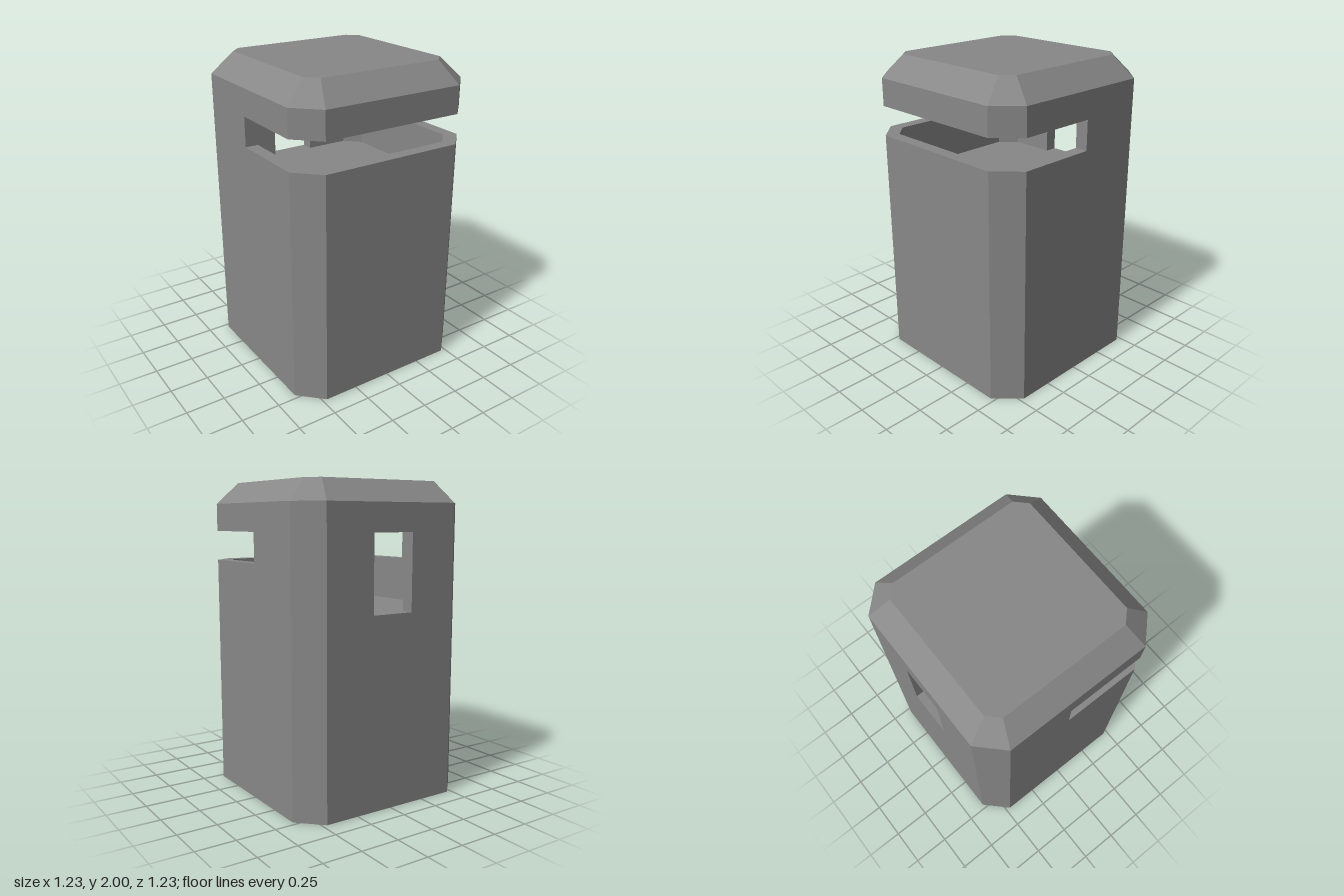
import * as THREE from 'three';

const H = 0.617, C = 0.47;   // outer half width and chamfer corner
const h = 0.535, c = 0.435;  // inner half width and chamfer corner
const W = 0.143;             // half width of the rear window
const SLOT_Z = -0.04;        // where the front slot ends
const FLOOR = 1.21, SILL = 1.5, LID = 1.69, EAVES = 1.865, TOP = 2;

const material = new THREE.MeshStandardMaterial({ color: 0x888888, flatShading: true });

// Square with cut corners, as plan points
const octagon = (a, b) => [[b, a], [a, b], [a, -b], [b, -a], [-b, -a], [-a, -b], [-a, b], [-b, a]];

const mirrored = (points) => points.map(([x, y]) => [-x, y]).reverse();

// Extrudes a plan outline of [x, -z] points from y0 up to y1.
function prism(points, y0, y1) {
  const shape = new THREE.Shape(points.map(([x, y]) => new THREE.Vector2(x, y)));
  const geometry = new THREE.ExtrudeGeometry(shape, { depth: y1 - y0, bevelEnabled: false });
  return geometry.rotateX(-Math.PI / 2).translate(0, y0, 0);
}

// Joins octagonal rings, each [half width, chamfer corner, y], with flat facets.
function loft(rings) {
  const loops = rings.map(([a, b, y]) => octagon(a, b).map(([x, z]) => [x, y, z]));
  const positions = [];
  for (let i = 0; i < loops.length - 1; i++) {
    for (let k = 0; k < 8; k++) {
      const n = (k + 1) % 8;
      const [p, q, r, s] = [loops[i][k], loops[i][n], loops[i + 1][n], loops[i + 1][k]];
      positions.push(...p, ...q, ...r, ...p, ...r, ...s);
    }
  }
  const geometry = new THREE.BufferGeometry();
  geometry.setAttribute('position', new THREE.Float32BufferAttribute(positions, 3));
  geometry.computeVertexNormals();
  return geometry;
}

export function createModel() {
  const model = new THREE.Group();
  const add = (name, geometry) => {
    const mesh = new THREE.Mesh(geometry, material);
    mesh.name = name;
    model.add(mesh);
  };

  // Solid body up to the chamber floor
  add('body', prism(octagon(H, C), 0, FLOOR));

  // Chamber wall below the slot, open at the rear window
  const outerLoop = [[W, H], ...octagon(H, C), [-W, H]];
  const innerLoop = [[W, h], ...octagon(h, c), [-W, h]];
  add('chamberWall', prism([...outerLoop, ...innerLoop.reverse()], FLOOR, SILL));

  // Rear wall halves beside the slot, holding up the lid
  const support = [[W, H], [C, H], [H, C], [H, -SLOT_Z], [h, -SLOT_Z], [h, c], [c, h], [W, h]];
  add('leftRearWall', prism(support, SILL, LID));
  add('rightRearWall', prism(mirrored(support), SILL, LID));

  // Hollow lid with a bevelled roof: ceiling, inner bevel and wall, rim, outer wall, bevel, top
  add('lid', loft([
    [0, 0, 1.92], [0.455, 0.39, 1.92], [h, c, 1.84], [h, c, LID],
    [H, C, LID], [H, C, EAVES], [0.485, 0.415, TOP], [0, 0, TOP],
  ]));

  return model;
}
